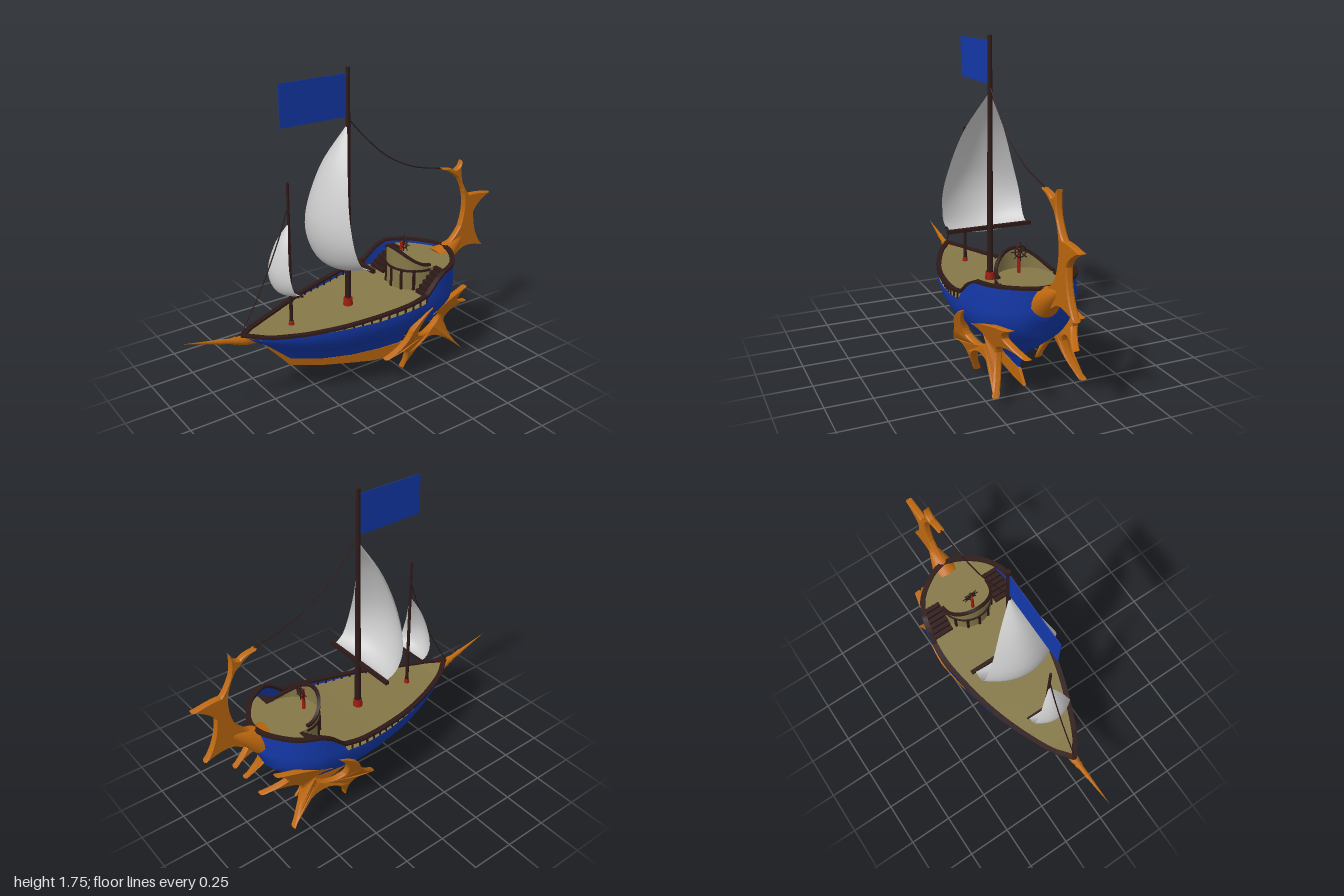
import * as THREE from 'three';
import { toCreasedNormals } from 'three/addons/utils/BufferGeometryUtils.js';

const mat = (color, side = THREE.FrontSide) => new THREE.MeshStandardMaterial({ color, side });
const BLUE = mat(0x1438a8, THREE.DoubleSide), ORANGE = mat(0xbd680f), BROWN = mat(0x2e1a18);
const OLIVE = mat(0x857848, THREE.DoubleSide), RED = mat(0xa01c10), SAIL = mat(0xcccccc, THREE.DoubleSide);
const V = (x, y, z) => new THREE.Vector3(x, y, z);

// Table lookup, straight or smoothed
function table(p, smooth = false) {
  const slope = i => {
    const a = p[Math.max(i - 1, 0)], b = p[Math.min(i + 1, p.length - 1)];
    return (b[1] - a[1]) / (b[0] - a[0]);
  };
  return x => {
    let i = 0;
    while (i < p.length - 2 && x > p[i + 1][0]) i++;
    const d = p[i + 1][0] - p[i][0], t = THREE.MathUtils.clamp((x - p[i][0]) / d, 0, 1);
    if (!smooth) return p[i][1] + t * (p[i + 1][1] - p[i][1]);
    const u = 1 - t;
    return (1 + 2 * t) * u * u * p[i][1] + t * u * u * d * slope(i) + t * t * (3 - 2 * t) * p[i + 1][1] - t * t * u * d * slope(i + 1);
  };
}

// Hull lines along x: half width, rail, deck edge, bilge and keel heights
const X0 = -0.68, X1 = 0.66;
const width = table([[X0, 0], [-0.6, 0.075], [-0.4, 0.17], [-0.2, 0.24], [0, 0.285], [0.2, 0.31], [0.4, 0.29], [0.5, 0.252], [0.56, 0.205], [0.62, 0.125], [0.65, 0.06], [X1, 0]], true);
const rail = table([[X0, 0.46], [-0.55, 0.445], [-0.4, 0.445], [-0.2, 0.46], [0, 0.48], [0.2, 0.505], [0.3, 0.525], [0.37, 0.59], [0.43, 0.622], [X1, 0.625]]);
const edge = table([[X0, 0.455], [-0.55, 0.44], [-0.4, 0.438], [0, 0.45], [0.3, 0.48], [X1, 0.5]]);
const bilge = table([[X0, 0.45], [-0.6, 0.39], [-0.4, 0.29], [-0.2, 0.235], [0.1, 0.21], [0.4, 0.22], [0.5, 0.25], [0.6, 0.34], [0.65, 0.45], [X1, 0.5]]);
const keel = table([[X0, 0.45], [-0.58, 0.38], [-0.4, 0.21], [-0.2, 0.145], [0, 0.1], [0.2, 0.075], [0.36, 0.07], [0.375, 0.12], [0.41, 0.17], [0.5, 0.235], [0.6, 0.33], [0.65, 0.44], [X1, 0.5]]);
const station = t => X0 + (X1 - X0) * Math.sin(t * Math.PI / 2);

function mesh(parent, name, geo, material) {
  const m = new THREE.Mesh(geo, material);
  m.name = name;
  parent.add(m);
  return m;
}
function group(parent, name) {
  const g = new THREE.Group();
  g.name = name;
  parent.add(g);
  return g;
}
function beam(parent, name, a, b, w, h, material = BROWN) {
  const m = mesh(parent, name, new THREE.BoxGeometry(w, h, a.distanceTo(b) + w * 0.3), material);
  m.position.copy(a).lerp(b, 0.5);
  m.lookAt(b);
}
function pole(parent, name, x, y0, y1, r0, r1, material = BROWN) {
  mesh(parent, name, new THREE.CylinderGeometry(r1, r0, y1 - y0, 16), material).position.set(x, (y0 + y1) / 2, 0);
}
function rope(parent, name, pts) {
  mesh(parent, name, new THREE.TubeGeometry(new THREE.CatmullRomCurve3(pts), 24, 0.0035, 5), BROWN);
}
// Grid surface whose normal is du x dv
function surface(nu, nv, fn) {
  const pos = [], idx = [];
  for (let i = 0; i <= nu; i++) for (let j = 0; j <= nv; j++) {
    pos.push(...fn(i / nu, j / nv));
    if (i < nu && j < nv) {
      const a = i * (nv + 1) + j, b = a + nv + 1;
      idx.push(a, b, b + 1, a, b + 1, a + 1);
    }
  }
  const g = new THREE.BufferGeometry();
  g.setAttribute('position', new THREE.Float32BufferAttribute(pos, 3));
  g.setIndex(idx);
  g.computeVertexNormals();
  return g;
}
// Flat plate with curved barbs, each step being [controlX, controlY, x, y]
function barbed(x, y, steps, depth) {
  const s = new THREE.Shape().moveTo(x, y);
  steps.forEach(c => s.quadraticCurveTo(...c));
  return new THREE.ExtrudeGeometry(s, { depth, curveSegments: 8, bevelSize: 0.005, bevelOffset: -0.005, bevelThickness: 0.008, bevelSegments: 1 }).translate(0, 0, -depth / 2);
}

// Half cross-section from rail to keel
function section(x) {
  const w = width(x), e = edge(x), c = bilge(x), k = keel(x);
  const pts = [[w * (x > 0.3 ? 0.965 : 1), x > 0.3 ? rail(x) : e], [w, e - 0.001]];
  for (let i = 1; i <= 8; i++) {
    const a = i / 8 * 1.26;
    pts.push([w * Math.cos(a), e - (e - c) * Math.sin(a)]);
  }
  pts.push([w * 0.13, c - 0.35 * Math.max(c - k, 0)], [0, Math.min(k, c)]);
  return pts;
}

function addSail(parent, x, y, s) {
  const g = group(parent, 'sail');
  const line = p => new THREE.CatmullRomCurve3(p.map(q => V(q[0], q[1], 0)));
  const mid = line([[0, 0.72], [-0.07, 0.69], [-0.15, 0.73], [-0.205, 0.85], [-0.21, 1], [-0.13, 1.25], [0, 1.46]]);
  const side = line([[0, 0.73], [-0.03, 0.74], [-0.07, 0.77], [-0.11, 0.86], [-0.12, 1], [-0.085, 1.22], [0, 1.46]]);
  const half = table([[0.69, 0.215], [0.78, 0.23], [0.88, 0.228], [1, 0.2], [1.25, 0.115], [1.46, 0]], true);
  mesh(g, 'sailCloth', surface(20, 30, (u, v) => {
    const k = u * 2 - 1, p = side.getPoint(v).lerp(mid.getPoint(v), 1 - k * k);
    return [p.x, p.y, k * half(p.y)];
  }), SAIL);
  beam(g, 'yard', V(0, 0.73, -0.24), V(0, 0.73, 0.24), 0.02, 0.02);
  g.scale.setScalar(s);
  g.position.set(x, y, 0);
}

export function createModel() {
  const ship = new THREE.Group();
  ship.name = 'sailingShip';

  // Hull, deck and keel
  const hull = surface(72, 22, (u, v) => {
    const x = station(u), j = Math.round(v * 22) - 11, p = section(x)[11 - Math.abs(j)];
    return [x, p[1], Math.sign(j) * p[0]];
  });
  mesh(ship, 'hull', toCreasedNormals(hull, 0.55), BLUE);
  mesh(ship, 'mainDeck', surface(40, 2, (u, v) => {
    const x = -0.67 + 1.2 * u;
    return [x, edge(x) - 0.012, (1 - 2 * v) * width(x) * 0.98];
  }).scale(1, 1, -1).toNonIndexed(), OLIVE).geometry.computeVertexNormals();
  const ks = new THREE.Shape().moveTo(-0.6, 0.405);
  [[-0.4, 0.225], [-0.2, 0.155], [0, 0.11], [0.2, 0.085], [0.37, 0.075], [0.43, 0.005], [0.3, 0.005], [0.15, 0.022], [0, 0.06], [-0.2, 0.115], [-0.4, 0.185]].forEach(p => ks.lineTo(...p));
  mesh(ship, 'keel', new THREE.ExtrudeGeometry(ks, { depth: 0.016, bevelEnabled: false }).translate(0, 0, -0.008), ORANGE);

  // Rails and balusters on both sides
  for (const s of [1, -1]) {
    const rails = group(ship, s > 0 ? 'frontRail' : 'backRail');
    const at = (x, y) => V(x, y, s * Math.max(width(x) - 0.013, 0));
    for (let i = 0; i < 48; i++) {
      const a = station(i / 48), b = station((i + 1) / 48);
      beam(rails, 'railCap', at(a, rail(a) - 0.005), at(b, rail(b) - 0.005), 0.028, 0.012);
    }
    for (let x = -0.45; x < 0.3; x += 0.05) beam(rails, 'baluster', at(x, edge(x) - 0.012), at(x + 0.001, rail(x)), 0.008, 0.008);
  }

  // Raised stern deck with a rounded balcony
  const R = 0.15, CX = 0.43, outline = [];
  for (let i = 0; i <= 24; i++) {
    const a = Math.PI / 2 + i / 24 * Math.PI;
    outline.push([CX + R * Math.cos(a), R * Math.sin(a)]);
  }
  outline.push([0.48, -R]);
  for (let i = 0; i <= 10; i++) outline.push([0.48 + 0.016 * i, 0.02 - width(0.48 + 0.016 * i)]);
  const n = outline.length;
  for (let i = n - 1; i > 24; i--) outline.push([outline[i][0], -outline[i][1]]);
  const castle = new THREE.Shape(outline.map(p => new THREE.Vector2(...p)));
  mesh(ship, 'sternDeck', new THREE.ExtrudeGeometry(castle, { depth: 0.135, bevelEnabled: false }).rotateX(Math.PI / 2).translate(0, 0.595, 0), OLIVE);

  // Balcony parapet rising to the front
  const balcony = group(ship, 'balcony');
  const rim = (t, r = R) => {
    const a = Math.PI * (0.5 + t), c = Math.cos(a);
    return V(CX + r * c, 0.615 + 0.09 * c * c, r * Math.sin(a));
  };
  mesh(balcony, 'parapet', surface(32, 1, (u, v) => {
    const p = rim(u);
    return [p.x, v ? p.y : 0.56, p.z];
  }), OLIVE);
  for (let i = 0; i < 32; i++) beam(balcony, 'parapetCap', rim(i / 32), rim((i + 1) / 32), 0.018, 0.012);
  for (let i = 0; i < 32; i++) {
    const a = rim(i / 32, R + 0.003).setY(0.585), b = rim((i + 1) / 32, R + 0.003).setY(0.585);
    beam(balcony, 'balconyTrim', a, b, 0.008, 0.012);
  }
  for (const t of [0.2, 0.35, 0.5, 0.65, 0.8]) beam(balcony, 'post', rim(t).setY(0.46), rim(t).setY(0.59).add(V(0.001, 0, 0)), 0.014, 0.014);

  // Two stairways
  for (const s of [1, -1]) {
    const stairs = group(ship, 'stairs');
    for (let i = 0; i < 6; i++) {
      const top = 0.49 + i * 0.021, w = Math.min(0.27, width(0.355 + i * 0.025) - 0.02) - 0.15;
      mesh(stairs, 'step', new THREE.BoxGeometry(0.024, top - 0.46, w), BROWN).position.set(0.345 + i * 0.025, (top + 0.46) / 2, s * (0.15 + w / 2));
    }
  }

  // Steering wheel
  const helm = group(ship, 'helm');
  pole(helm, 'helmPost', 0.345, 0.59, 0.72, 0.01, 0.008, RED);
  const wheel = group(helm, 'wheel');
  wheel.position.set(0.362, 0.71, 0);
  mesh(wheel, 'wheelRim', new THREE.TorusGeometry(0.03, 0.004, 6, 24).rotateY(Math.PI / 2), BROWN);
  for (let i = 0; i < 4; i++) mesh(wheel, 'spoke', new THREE.CylinderGeometry(0.003, 0.003, 0.1, 6), BROWN).rotation.x = i * Math.PI / 4;

  // Masts, sails, flag and ropes
  pole(ship, 'mainMast', -0.02, 0.43, 1.75, 0.018, 0.011);
  pole(ship, 'mainMastCollar', -0.02, 0.43, 0.48, 0.028, 0.024, RED);
  pole(ship, 'foreMast', -0.385, 0.42, 1.22, 0.01, 0.007);
  pole(ship, 'foreMastCollar', -0.385, 0.42, 0.45, 0.016, 0.013, RED);
  addSail(ship, -0.025, 0, 1);
  addSail(ship, -0.387, 0.275, 0.5);
  mesh(ship, 'flag', new THREE.BoxGeometry(0.4, 0.22, 0.004), BLUE).position.set(-0.22, 1.61, 0);
  rope(ship, 'sternRope', [V(-0.02, 1.49, 0), V(0.09, 1.37, 0), V(0.24, 1.24, 0), V(0.42, 1.15, 0), V(0.62, 1.1, 0)]);
  rope(ship, 'bowRope', [V(-0.385, 1.1, 0), V(-0.45, 0.92, 0), V(-0.56, 0.68, 0), V(-0.69, 0.455, 0)]);

  // Bowsprit
  const spike = [[0, 0], [0.018, 0], [0.026, 0.06], [0.024, 0.1], [0.018, 0.115], [0.022, 0.125], [0.015, 0.15], [0.013, 0.2], [0.015, 0.21], [0.011, 0.23], [0, 0.415]];
  const sprit = mesh(ship, 'bowsprit', new THREE.LatheGeometry(spike.map(p => new THREE.Vector2(...p)), 14), ORANGE);
  sprit.position.set(-0.6, 0.405, 0);
  sprit.quaternion.setFromUnitVectors(V(0, 1, 0), V(-0.4, 0.105, 0).normalize());

  // Barbed stern tail with a flared root
  mesh(ship, 'sternTail', barbed(0.61, 1.1, [[0.68, 1.1, 0.71, 1.075], [0.75, 1.08, 0.76, 1.125], [0.755, 1.04, 0.775, 0.99], [0.81, 0.92, 0.83, 0.905],
    [0.88, 0.91, 0.99, 0.888], [0.89, 0.84, 0.87, 0.79], [0.875, 0.65, 0.955, 0.556], [0.83, 0.6, 0.78, 0.57], [0.7, 0.52, 0.65, 0.49],
    [0.63, 0.52, 0.63, 0.55], [0.64, 0.6, 0.66, 0.625], [0.72, 0.64, 0.77, 0.72], [0.83, 0.88, 0.74, 1.02], [0.69, 1.07, 0.61, 1.1]], 0.022), ORANGE);
  const root = mesh(ship, 'tailRoot', new THREE.CylinderGeometry(0.018, 0.08, 0.19, 20), ORANGE);
  root.position.set(0.71, 0.595, 0);
  root.quaternion.setFromUnitVectors(V(0, 1, 0), V(0.83, 0.55, 0).normalize());

  // Barbed fins hugging the hull on both sides
  for (const s of [1, -1]) {
    const fin = barbed(0.06, 0.17, [[0.18, 0.25, 0.2, 0.33], [0.25, 0.41, 0.34, 0.435], [0.24, 0.33, 0.27, 0.27], [0.34, 0.22, 0.43, 0.28], [0.49, 0.35, 0.36, 0.37],
      [0.45, 0.42, 0.67, 0.435], [0.6, 0.4, 0.6, 0.37], [0.62, 0.34, 0.73, 0.3], [0.52, 0.34, 0.51, 0.26], [0.52, 0.18, 0.61, 0.07],
      [0.46, 0.21, 0.37, 0.21], [0.27, 0.2, 0.22, 0.04], [0.24, 0.19, 0.17, 0.19], [0.12, 0.18, 0.06, 0.17]], 0.024);
    const p = fin.attributes.position;
    for (let i = 0; i < p.count; i++) {
      const x = p.getX(i), y = p.getY(i), d = y - 0.27;
      const bend = d > 0 ? 0.35 * d : -d * THREE.MathUtils.mapLinear(x, 0.2, 0.6, -0.4, 0.45);
      p.setZ(i, p.getZ(i) + s * (0.25 - 0.28 * (x - 0.25) + bend));
    }
    fin.computeVertexNormals();
    mesh(ship, s > 0 ? 'frontFin' : 'backFin', fin, ORANGE);
  }
  return ship;
}
